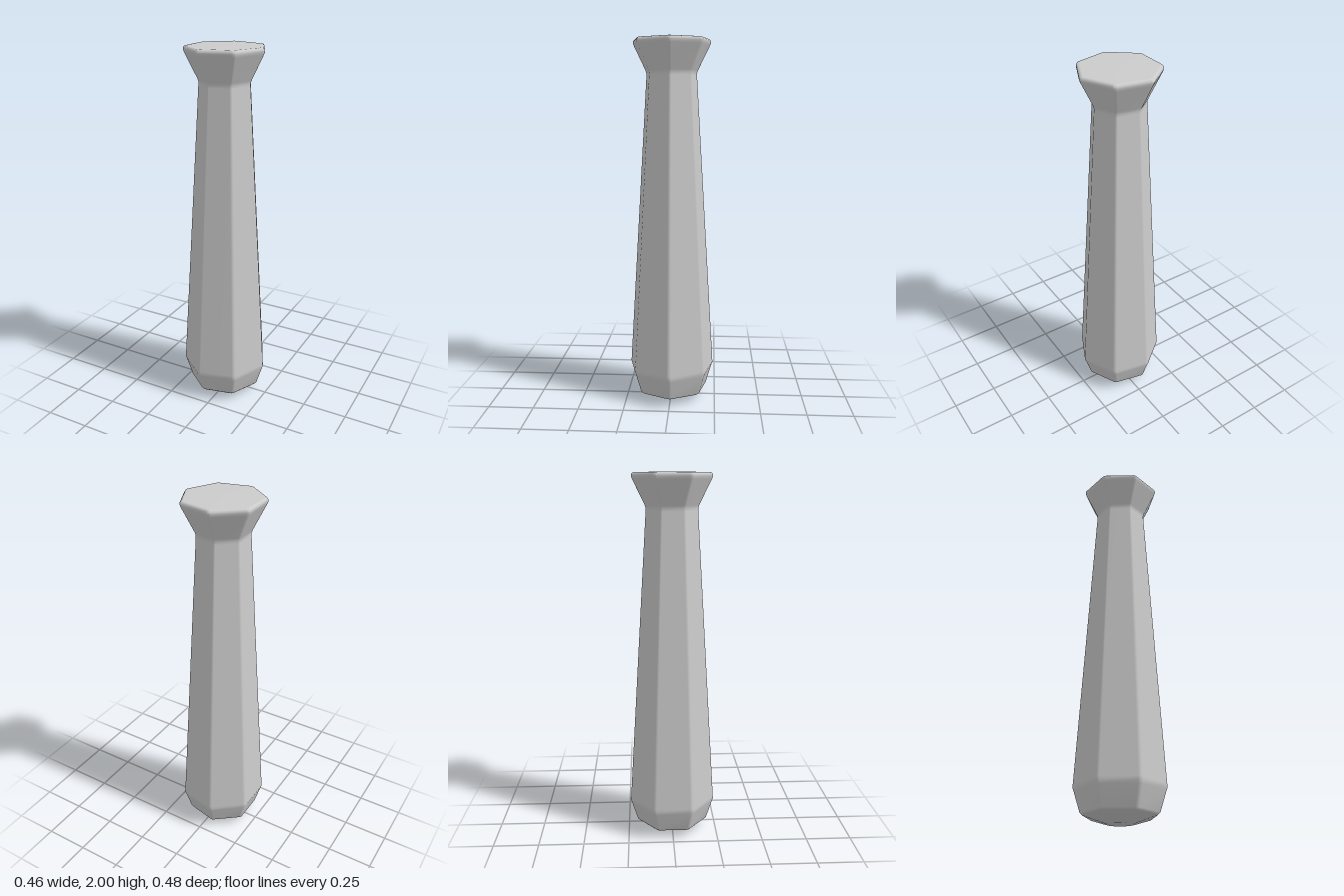
import * as THREE from 'three';

const SIDES = 7;
const CORNER_STEPS = 4;
const HALF = Math.PI / SIDES;
const CENTRE_X = -0.0125;

// Heptagon outline with rounded corners, apothem 1, one corner towards +x
function outline(fillet) {
  const points = [];
  const reach = (1 - fillet) / Math.cos(HALF);
  for (let k = 0; k < SIDES; k++) {
    const mid = 2 * HALF * k;
    for (let s = 0; s <= CORNER_STEPS; s++) {
      const a = mid + HALF * (2 * s / CORNER_STEPS - 1);
      points.push([
        reach * Math.cos(mid) + fillet * Math.cos(a),
        reach * Math.sin(mid) + fillet * Math.sin(a),
      ]);
    }
  }
  return points;
}

// Stack of outlines, [apothem, y] from bottom to top, closed at both ends
function loft(profile, ring) {
  const n = ring.length;
  const positions = [];
  const index = [];
  for (const [r, y] of profile) {
    for (const [x, z] of ring) positions.push(CENTRE_X + r * x, y, -r * z);
  }
  const bottom = positions.length / 3;
  const top = bottom + 1;
  const last = (profile.length - 1) * n;
  positions.push(CENTRE_X, profile[0][1], 0);
  positions.push(CENTRE_X, profile[profile.length - 1][1], 0);
  for (let j = 0; j < n; j++) {
    const k = (j + 1) % n;
    for (let i = 0; i < profile.length - 1; i++) {
      const a = i * n;
      const b = a + n;
      index.push(a + j, a + k, b + k, a + j, b + k, b + j);
    }
    index.push(bottom, k, j, top, last + j, last + k);
  }
  const geometry = new THREE.BufferGeometry();
  geometry.setAttribute('position', new THREE.Float32BufferAttribute(positions, 3));
  geometry.setIndex(index);
  geometry.computeVertexNormals();
  return geometry;
}

export function createModel() {
  const group = new THREE.Group();
  group.name = 'taperedHandle';

  const profile = [
    // rounded butt
    [0.06, 0], [0.075, 0.004], [0.175, 0.039], [0.186, 0.05],
    // widest part and tapering shaft
    [0.216, 0.155], [0.2215, 0.172], [0.2205, 0.19],
    // neck and flared head
    [0.1285, 1.805], [0.1285, 1.82], [0.133, 1.835],
    [0.192, 1.965], [0.1975, 1.98], [0.197, 1.99],
    // softened top rim
    [0.191, 1.998], [0.18, 2],
  ];
  const material = new THREE.MeshStandardMaterial({ color: 0xcccccc });
  const handle = new THREE.Mesh(loft(profile, outline(0.12)), material);
  handle.name = 'handle';
  group.add(handle);
  return group;
}
